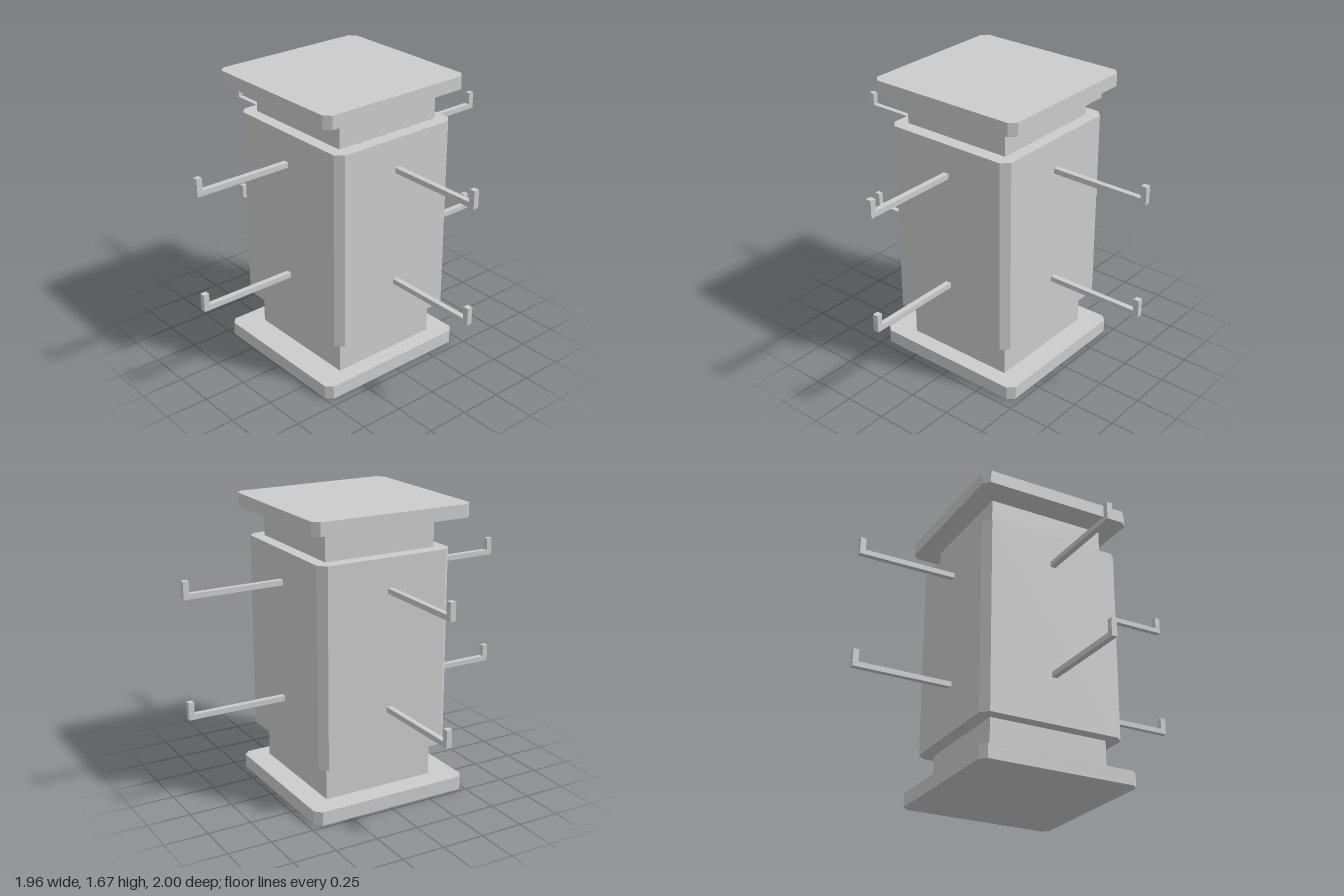
import * as THREE from 'three';

const material = new THREE.MeshStandardMaterial({ color: 0xcccccc, flatShading: true });

// Upright block with chamfered vertical corners
function chamferedBlock(name, width, depth, bottom, top, chamfer, x = 0, z = 0) {
  const w = width / 2, d = depth / 2, c = chamfer;
  const outline = new THREE.Shape([
    [-w + c, -d], [w - c, -d], [w, -d + c], [w, d - c],
    [w - c, d], [-w + c, d], [-w, d - c], [-w, -d + c],
  ].map(([px, py]) => new THREE.Vector2(px, py)));
  const geometry = new THREE.ExtrudeGeometry(outline, { depth: top - bottom, bevelEnabled: false });
  geometry.rotateX(-Math.PI / 2);
  const mesh = new THREE.Mesh(geometry, material);
  mesh.name = name;
  mesh.position.set(x, bottom, z);
  return mesh;
}

function neck(name, bottom, top) {
  const mesh = new THREE.Mesh(new THREE.BoxGeometry(0.67, top - bottom, 0.705), material);
  mesh.name = name;
  mesh.position.y = (bottom + top) / 2;
  return mesh;
}

// L-shaped peg pointing along +x with an upturned tip
function hookGeometry(start, end) {
  const thick = 0.03, tip = 0.033, rise = 0.1, width = 0.032;
  const profile = new THREE.Shape([
    [start, 0], [end, 0], [end, rise], [end - tip, rise], [end - tip, thick], [start, thick],
  ].map(([px, py]) => new THREE.Vector2(px, py)));
  const geometry = new THREE.ExtrudeGeometry(profile, { depth: width, bevelEnabled: false });
  return geometry.translate(0, 0, -width / 2);
}

export function createModel() {
  const model = new THREE.Group();
  model.name = 'displayStand';

  // Base, central column and cap
  model.add(
    chamferedBlock('basePlate', 0.96, 0.93, 0, 0.08, 0.035, -0.015, -0.015),
    neck('lowerNeck', 0.08, 0.29),
    chamferedBlock('body', 0.81, 0.86, 0.29, 1.425, 0.042),
    neck('upperNeck', 1.425, 1.595),
    chamferedBlock('topPlate', 0.96, 0.93, 1.595, 1.67, 0.035, -0.015, -0.015),
  );

  // Two rows of hooks, one hook per side in each row
  const sides = [
    { name: 'left', angle: 0, start: 0.39, end: 0.98, x: 0, z: 0.01 },
    { name: 'front', angle: -Math.PI / 2, start: 0.415, end: 1, x: 0, z: 0 },
    { name: 'right', angle: Math.PI, start: 0.39, end: 0.98, x: 0, z: -0.005 },
    { name: 'back', angle: Math.PI / 2, start: 0.415, end: 1, x: -0.015, z: 0 },
  ];
  const rows = [['Lower', 0.557], ['Upper', 1.228]];
  for (const side of sides) {
    const geometry = hookGeometry(side.start, side.end);
    for (const [row, y] of rows) {
      const hook = new THREE.Mesh(geometry, material);
      hook.name = `${side.name}${row}Hook`;
      hook.rotation.y = side.angle;
      hook.position.set(side.x, y, side.z);
      model.add(hook);
    }
  }
  return model;
}
